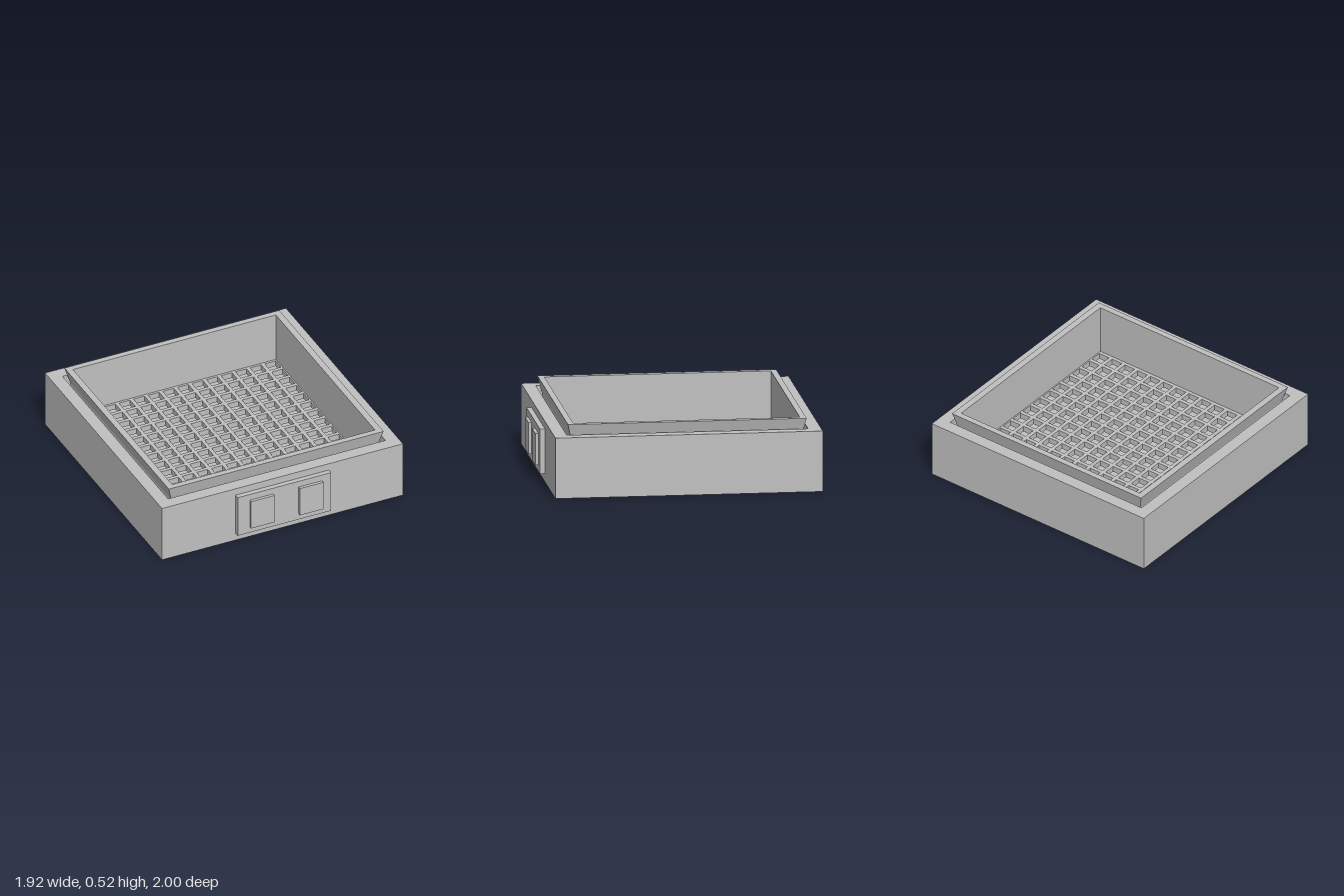
import * as THREE from 'three';

const grey = new THREE.MeshStandardMaterial({ color: 0xc0c0c0 });
grey.name = 'grey';

const CZ = -0.03; // centre of the housing in z

function add(group, name, geometry, x = 0, y = 0, z = 0) {
  const mesh = new THREE.Mesh(geometry, grey);
  mesh.name = name;
  mesh.position.set(x, y, z);
  group.add(mesh);
  return mesh;
}

// Joins rectangular rings [halfX, halfZ, y], listed up the outside and down the inside
function rectLoft(rings) {
  const corners = [[1, 1], [1, -1], [-1, -1], [-1, 1]];
  const point = ([hx, hz, y], k) => [corners[k % 4][0] * hx, y, corners[k % 4][1] * hz];
  const positions = [];
  for (let i = 0; i < rings.length - 1; i++) {
    for (let k = 0; k < 4; k++) {
      const a = point(rings[i], k), b = point(rings[i], k + 1);
      const c = point(rings[i + 1], k + 1), d = point(rings[i + 1], k);
      positions.push(...a, ...b, ...c, ...a, ...c, ...d);
    }
  }
  const geometry = new THREE.BufferGeometry();
  geometry.setAttribute('position', new THREE.Float32BufferAttribute(positions, 3));
  geometry.computeVertexNormals();
  return geometry;
}

function rectPath(path, x0, y0, x1, y1) {
  path.moveTo(x0, y0);
  path.lineTo(x1, y0);
  path.lineTo(x1, y1);
  path.lineTo(x0, y1);
  path.closePath();
  return path;
}

// Slab pierced by a square grid of holes
function grilleGeometry(hx, hz, thickness) {
  const count = 14, pitch = 0.1163, half = 0.044;
  const shape = rectPath(new THREE.Shape(), -hx, -hz, hx, hz);
  for (let i = 0; i < count; i++) {
    for (let j = 0; j < count; j++) {
      const x = (i - (count - 1) / 2) * pitch;
      const y = (j - (count - 1) / 2) * pitch + 0.004;
      shape.holes.push(rectPath(new THREE.Path(), x - half, y - half, x + half, y + half));
    }
  }
  return new THREE.ExtrudeGeometry(shape, { depth: thickness, bevelEnabled: false })
    .rotateX(-Math.PI / 2);
}

export function createModel() {
  const model = new THREE.Group();
  model.name = 'trayUnit';

  // Open housing with a closed bottom
  add(model, 'housing', rectLoft([
    [0, 0, 0], [0.962, 0.97, 0], [0.962, 0.97, 0.445],
    [0.868, 0.876, 0.445], [0.868, 0.876, 0.04], [0, 0, 0.04],
  ]), 0, 0, CZ);

  // Inner tray walls with a flared rim
  add(model, 'trayWalls', rectLoft([
    [0.81, 0.822, 0.09], [0.825, 0.837, 0.09], [0.825, 0.837, 0.40], [0.858, 0.866, 0.52],
    [0.81, 0.822, 0.52], [0.81, 0.822, 0.09],
  ]), 0, 0, CZ);

  // Perforated tray floor
  add(model, 'grilleFloor', grilleGeometry(0.81, 0.822, 0.045), 0, 0.09, CZ);

  // Front panel with two buttons
  add(model, 'controlPanel', new THREE.BoxGeometry(0.746, 0.33, 0.04), -0.002, 0.225, 0.957);
  for (const [name, x] of [['rightButton', -0.186], ['leftButton', 0.205]]) {
    add(model, name, new THREE.BoxGeometry(0.186, 0.232, 0.03), x, 0.225, 0.985);
  }

  return model;
}
